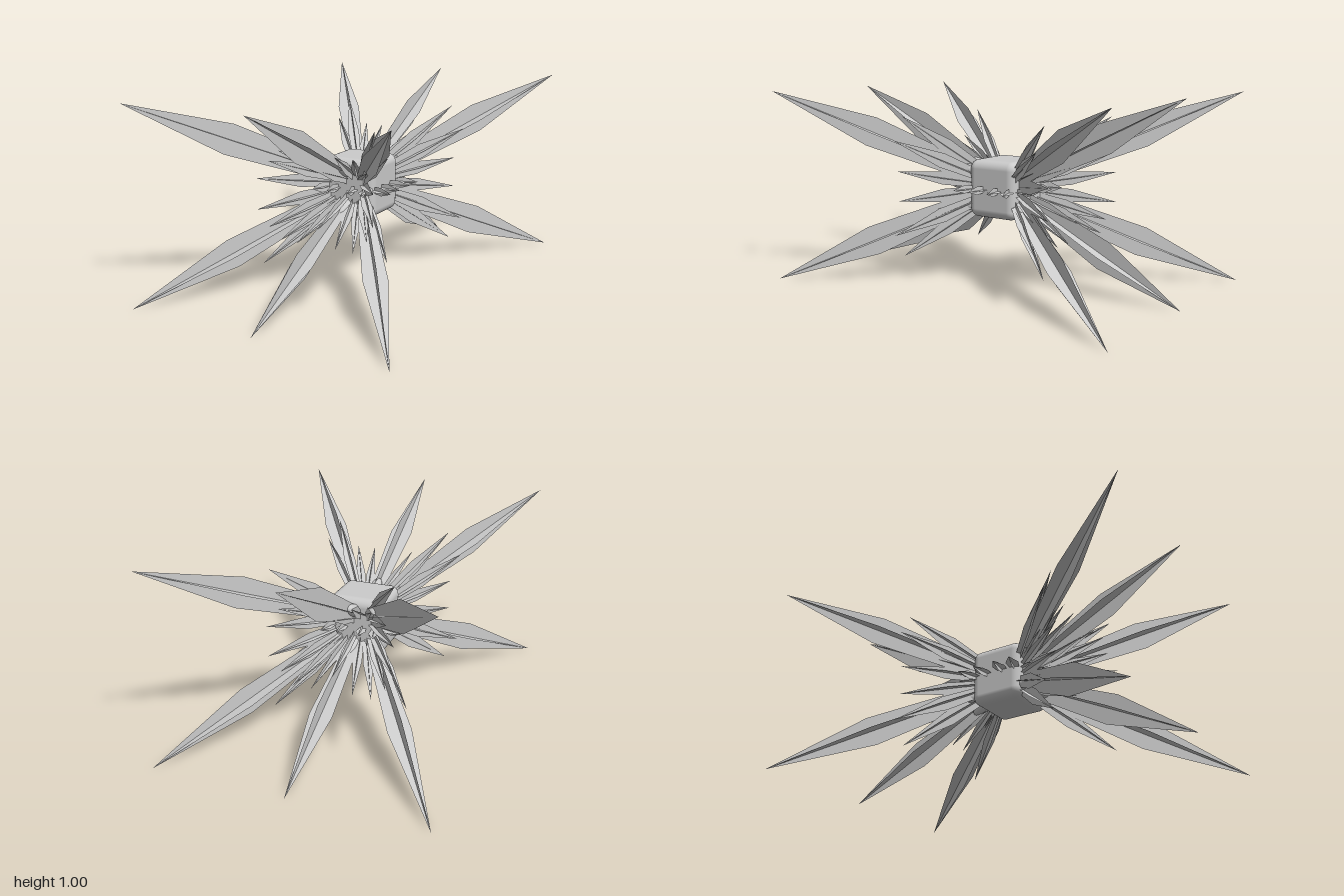
import * as THREE from 'three';
import { RoundedBoxGeometry } from 'three/addons/geometries/RoundedBoxGeometry.js';

const plateMaterial = new THREE.MeshStandardMaterial({ color: 0xcccccc, side: THREE.DoubleSide, flatShading: true });
const bodyMaterial = new THREE.MeshStandardMaterial({ color: 0xcccccc });
const UP = new THREE.Vector3(0, 1, 0);

// Thin kite along +z with its widest point past the middle; half width lies along x
function kite(length, half) {
  const s = new THREE.Shape([
    new THREE.Vector2(-half * 0.55, 0.1 * length),
    new THREE.Vector2(half * 0.55, 0.1 * length),
    new THREE.Vector2(half, 0.58 * length),
    new THREE.Vector2(0, length),
    new THREE.Vector2(-half, 0.58 * length),
  ]);
  return new THREE.ShapeGeometry(s).rotateX(Math.PI / 2);
}

// Spike made of two crossed kites, one upright and one level
function spike(name, from, to, tall, wide) {
  const g = new THREE.Group();
  g.name = name;
  const length = from.distanceTo(to);
  g.add(new THREE.Mesh(kite(length, wide), plateMaterial));
  g.add(new THREE.Mesh(kite(length, tall).rotateZ(Math.PI / 2), plateMaterial));
  g.position.copy(from);
  g.up.copy(UP);
  g.lookAt(to);
  return g;
}

export function createModel() {
  const model = new THREE.Group();
  const burst = new THREE.Group();
  burst.name = 'burst';
  burst.position.y = 0.5;
  model.add(burst);

  // Rounded core
  const core = new THREE.Mesh(new RoundedBoxGeometry(0.3, 0.3, 0.29, 5, 0.045), bodyMaterial);
  core.name = 'core';
  burst.add(core);

  const centre = new THREE.Vector3();
  // Tips of one octant, mirrored to all the others
  const largeTips = [[0.695, 0.5, 1], [0, 0.5, 1]];
  const mediumTips = [
    [0.32, 0.37, 0.44], [0.39, 0.25, 0.44], [0.21, 0.23, 0.45], [0.11, 0.23, 0.45],
    [0.28, 0.17, 0.44], [0.33, 0.08, 0.47], [0, 0.15, 0.44],
  ];

  const mirrored = (tips, use) => {
    for (const [x, y, z] of tips)
      for (const sx of x ? [1, -1] : [1])
        for (const sy of y ? [1, -1] : [1])
          for (const sz of [1, -1]) use(new THREE.Vector3(x * sx, y * sy, z * sz));
  };

  mirrored(largeTips, (tip) => {
    const length = tip.length();
    burst.add(spike('largeSpike', centre, tip, 0.079, 0.06));
    // Smooth swelling where the spike leaves the core
    const root = new THREE.Mesh(new THREE.SphereGeometry(1, 16, 12), bodyMaterial);
    root.name = 'spikeRoot';
    root.scale.set(0.032, 0.032, 0.085);
    root.position.copy(tip).multiplyScalar(0.17 / length);
    root.position.y *= 1.25;
    root.lookAt(tip);
    burst.add(root);
  });

  mirrored(mediumTips, (tip) => {
    const length = tip.length();
    burst.add(spike('mediumSpike', centre, tip, 0.061 * length, 0.046 * length));
  });

  // Short spikes around the waist: front and back, then both flanks
  mirrored([[0.14, 0, 0.25], [0.06, 0, 0.24]], (tip) => {
    const from = new THREE.Vector3(tip.x * 0.75, 0, Math.sign(tip.z) * 0.12);
    burst.add(spike('waistSpike', from, tip, 0.024, 0.026));
  });
  mirrored([[0.26, 0, 0.155], [0.26, 0, 0.06]], (tip) => {
    const from = new THREE.Vector3(Math.sign(tip.x) * 0.1, 0, tip.z * 0.65);
    burst.add(spike('flankSpike', from, tip, 0.022, 0.034));
  });

  return model;
}
